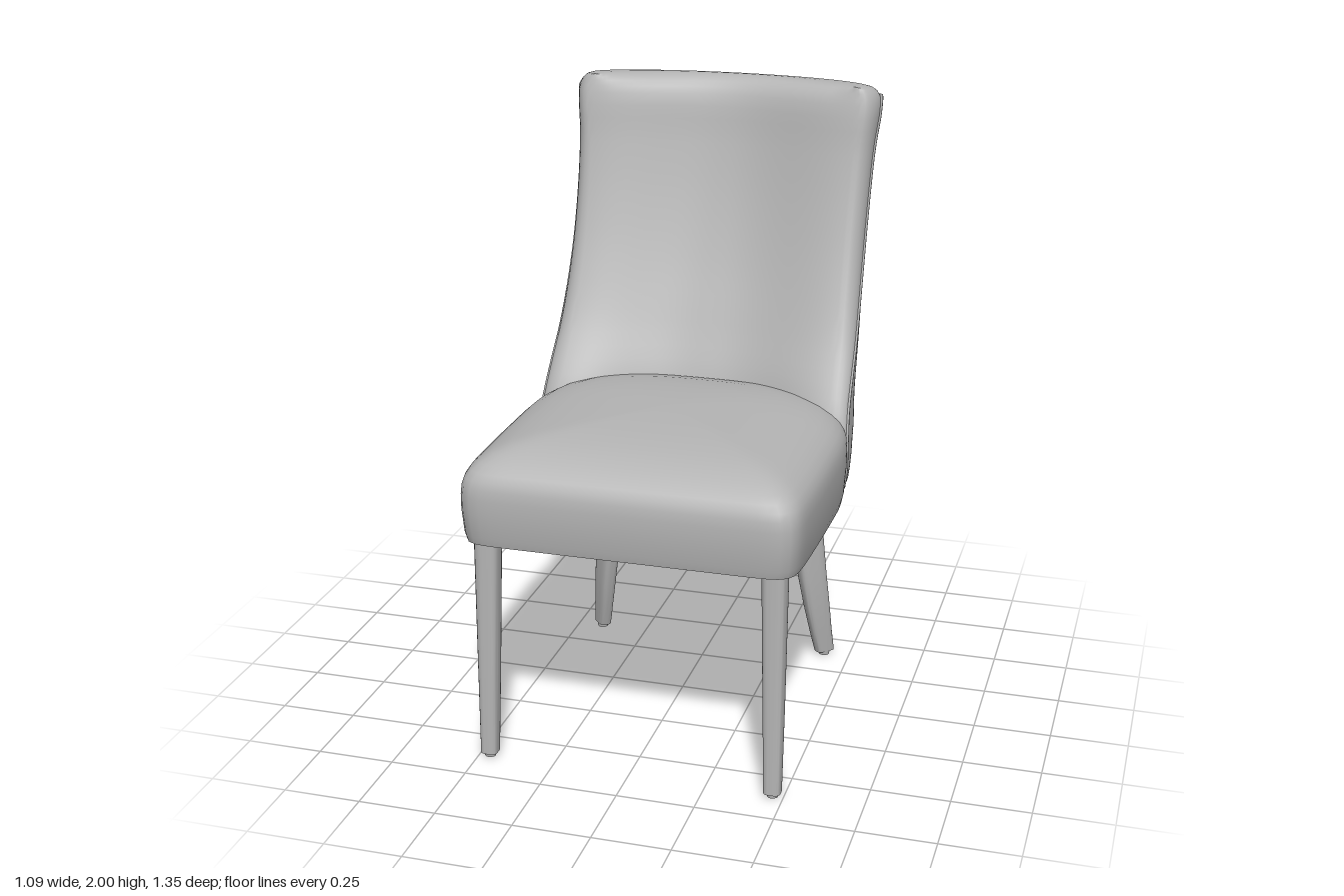
import * as THREE from 'three';
import { toCreasedNormals } from 'three/addons/utils/BufferGeometryUtils.js';

const V = (x, y, z) => new THREE.Vector3(x, y, z);
const { clamp, mapLinear } = THREE.MathUtils;

// Skins a stack of equal-length rings (bottom to top), optionally closing both ends
function loft(rings, crease, capped) {
  const n = rings[0].length, pos = [], index = [];
  rings.forEach(r => r.forEach(p => pos.push(p.x, p.y, p.z)));
  for (let i = 0; i < rings.length - 1; i++) {
    for (let k = 0; k < n; k++) {
      const a = i * n + k, b = i * n + (k + 1) % n;
      index.push(a, a + n, b, b, a + n, b + n);
    }
  }
  const cap = (ring, start, top) => {
    const c = ring.reduce((s, p) => s.add(p), V(0, 0, 0)).divideScalar(n);
    const ci = pos.length / 3;
    pos.push(c.x, c.y, c.z);
    for (let k = 0; k < n; k++) {
      const a = start + k, b = start + (k + 1) % n;
      if (top) index.push(ci, b, a); else index.push(ci, a, b);
    }
  };
  if (capped) {
    cap(rings[0], 0, false);
    cap(rings[rings.length - 1], (rings.length - 1) * n, true);
  }
  const g = new THREE.BufferGeometry();
  g.setAttribute('position', new THREE.Float32BufferAttribute(pos, 3));
  g.setIndex(index);
  return toCreasedNormals(g, crease);
}

// Unit superellipse point at a polar angle
function superPoint(a, e) {
  const c = Math.cos(a), s = Math.sin(a);
  const r = (Math.abs(c) ** e + Math.abs(s) ** e) ** (-1 / e);
  return [c * r, s * r];
}

// Underside dips slightly where seat and back meet, fading out higher up
const dip = (y, z) => clamp((0.88 - y) / 0.14, 0, 1) *
  (z > -0.1 ? -0.012 + 0.026 * (z + 0.1) : -0.012 - 0.045 * (z + 0.1));

// Domed seat cushion: square front, rounded rear tucked into the back
function seatGeometry() {
  const profile = [[0.955, 0.737], [0.978, 0.741], [0.989, 0.768], [1, 0.85], [1, 0.9], [0.994, 0.932],
    [0.98, 0.957], [0.955, 0.978], [0.915, 0.998], [0.85, 1.019], [0.76, 1.037], [0.64, 1.051],
    [0.45, 1.062], [0.22, 1.069], [0.03, 1.071]];
  return loft(profile.map(([s, y]) => Array.from({ length: 160 }, (_, k) => {
    const a = k / 160 * Math.PI * 2, front = Math.sin(a) >= 0;
    const [px, pz] = superPoint(a, front ? 16 : 3);
    const x = px * s * 0.546, z = 0.13 + pz * s * (front ? 0.542 : 0.5);
    // sides taper gently toward the front corners
    return V(x * (1 - 0.018 * Math.max(0, (z - 0.2) / 0.47) ** 2), y + dip(y, z), z);
  })), 0.7, true);
}

// Back shell by height: y, half width, wing front z, seam offset, inner centre z, outer centre z
const backKeys = [
  [0.73, 0.512, -0.095, 0.02, -0.24, -0.425],
  [0.77, 0.522, -0.088, 0.02, -0.24, -0.438],
  [0.92, 0.526, -0.085, 0.02, -0.24, -0.466],
  [1.0, 0.52, -0.11, 0.03, -0.25, -0.482],
  [1.2, 0.51, -0.238, 0.052, -0.33, -0.522],
  [1.4, 0.503, -0.328, 0.065, -0.41, -0.562],
  [1.6, 0.502, -0.395, 0.07, -0.475, -0.602],
  [1.8, 0.508, -0.445, 0.075, -0.525, -0.642],
  [1.93, 0.52, -0.468, 0.085, -0.55, -0.668],
  [2.0, 0.517, -0.488, 0.08, -0.575, -0.675]];
const backShape = new THREE.CubicInterpolant(
  backKeys.map(k => k[0]), backKeys.flatMap(k => k.slice(1)), 5, new Float32Array(5));
const backAt = y => Array.from(backShape.evaluate(y));

// Point on the outer back panel, t from 0 (right seam) to 1 (left seam); corners fullest low down
function outerPoint(y, t) {
  const [w, zs, d, , zb] = backAt(y);
  const e = y < 0.95 ? mapLinear(y, 0.73, 0.95, 2.6, 3.4) : mapLinear(y, 0.95, 2, 3.4, 2);
  const [x, z] = superPoint(Math.PI * (1 + t), e);
  return V(x * w, y, zs - d - z * (zb - zs + d));
}

// Plan section of the shell; inset draws both skins together to close the ends
function backRing(y, inset) {
  const [w, zs, d, zi] = backAt(y), r = 0.05, outer = [], inner = [];
  const tip = (side, a) => V(side * (w - r + r * Math.sin(a)), y, zs - d + d * Math.cos(a));
  for (let i = 0; i < 6; i++) outer.push(tip(-1, i / 6 * Math.PI / 2));
  for (let i = 0; i <= 48; i++) outer.push(outerPoint(y, i / 48));
  for (let i = 5; i >= 0; i--) outer.push(tip(1, i / 6 * Math.PI / 2));
  const n = outer.length, power = clamp(mapLinear(y, 1, 2, 1.6, 1), 1, 1.6);
  for (let i = 0; i < n; i++) {
    const u = 1 - 2 * (i + 0.5) / n;
    const f = ((1 - Math.cos(Math.PI * u)) / 2) ** power;
    inner.push(V(u * (w - r), y, zi + (zs - zi) * f));
  }
  const ring = [...outer, ...inner];
  return ring.map((p, k) => {
    const mid = p.clone().add(ring[2 * n - 1 - k]).multiplyScalar(0.5);
    const q = p.clone().lerp(mid, inset);
    q.x *= 1 - 0.04 * inset;
    q.y += dip(y, q.z);
    return q;
  });
}

function backGeometry() {
  const rows = [[0.735, 1], [0.735, 0.2], [0.743, 0.06], [0.767, 0]];
  for (let i = 0; i <= 28; i++) rows.push([0.8 + i / 28 * 1.14, 0]);
  rows.push([1.962, 0.05], [1.979, 0.14], [1.991, 0.3], [1.998, 0.55], [2.0, 1]);
  return loft(rows.map(([y, inset]) => backRing(y, inset)), 0.8, false);
}

// Piping up one wing, across the top rear edge and down the other wing
function pipingGeometry() {
  const pts = [], low = 0.75, top = 1.96;
  for (let i = 0; i < 20; i++) pts.push(outerPoint(low + i / 20 * (top - low), 0));
  for (let i = 0; i <= 20; i++) pts.push(outerPoint(top, i / 20));
  for (let i = 19; i >= 0; i--) pts.push(outerPoint(low + i / 20 * (top - low), 1));
  return new THREE.TubeGeometry(new THREE.CatmullRomCurve3(pts), 180, 0.006, 6);
}

// Tapered leg with a softened section turned about its axis; stations are y, x, z, width, depth
function legGeometry(stations, side, turn) {
  const axis = V(0, 1, 0);
  return loft(stations.map(([y, x, z, w, d]) => Array.from({ length: 32 }, (_, k) => {
    const [px, pz] = superPoint(k / 32 * Math.PI * 2, 3.6);
    return V(px * w / 2, 0, pz * d / 2).applyAxisAngle(axis, side * turn).add(V(side * x, y, z));
  })), 0.8, true);
}

export function createModel() {
  const model = new THREE.Group();
  const upholstery = new THREE.MeshStandardMaterial({ color: 0xb4b4b4 });
  upholstery.name = 'plain grey';
  const add = (name, geometry) => {
    const mesh = new THREE.Mesh(geometry, upholstery);
    mesh.name = name;
    model.add(mesh);
    return mesh;
  };

  add('seat', seatGeometry());
  add('backrest', backGeometry());
  add('piping', pipingGeometry());

  // Straight front legs; sabre back legs splay along the diagonal
  const frontLeg = [[0.015, 0.465, 0.617, 0.054, 0.056], [0.3, 0.462, 0.607, 0.064, 0.068],
    [0.75, 0.457, 0.594, 0.078, 0.08]];
  const backLeg = [[0.015, 0.412, -0.383, 0.068, 0.042], [0.1, 0.401, -0.365, 0.078, 0.047],
    [0.2, 0.389, -0.347, 0.09, 0.053], [0.32, 0.374, -0.331, 0.1, 0.058],
    [0.45, 0.359, -0.322, 0.108, 0.062], [0.6, 0.346, -0.319, 0.113, 0.065],
    [0.78, 0.336, -0.32, 0.115, 0.066]];
  for (const side of [1, -1]) {
    const label = side > 0 ? 'Left' : 'Right';
    for (const [name, stations, turn] of [['front', frontLeg, 0], ['back', backLeg, Math.PI / 4]]) {
      add(`${name}Leg${label}`, legGeometry(stations, side, turn));
      // Small glide under the foot
      add(`${name}Glide${label}`, new THREE.CylinderGeometry(0.02, 0.018, 0.018, 12))
        .position.set(side * stations[0][1], 0.009, stations[0][2]);
    }
  }
  return model;
}
